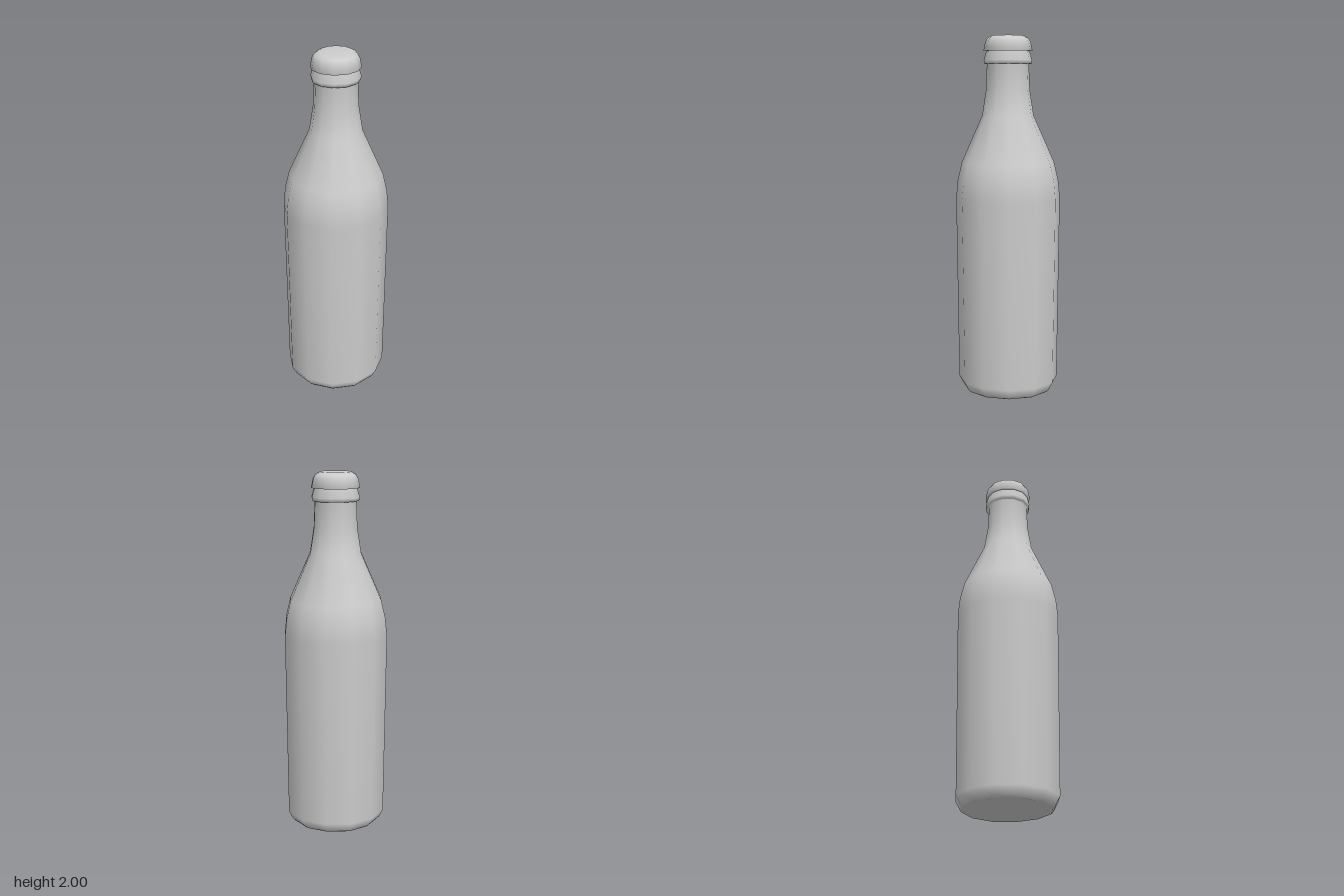
import * as THREE from 'three';

// Slightly uneven twelve-sided outline [x, z] at full body radius, starting at the front
const OUTLINE = [
  [0, 0.29], [0.148, 0.249], [0.257, 0.139], [0.297, -0.01], [0.251, -0.158], [0.141, -0.257],
  [-0.002, -0.294], [-0.143, -0.256], [-0.251, -0.155], [-0.297, -0.01], [-0.26, 0.139], [-0.152, 0.249],
];
const FULL_RADIUS = 0.297;

// Lathe a [radius, y] profile, then fit each ring to the outline
function turned(name, profile) {
  const points = profile.map(([r, y]) => new THREE.Vector2(r, y));
  const geometry = new THREE.LatheGeometry(points, OUTLINE.length);
  const position = geometry.attributes.position;
  for (let i = 0; i < position.count; i++) {
    const [x, z] = OUTLINE[Math.floor(i / points.length) % OUTLINE.length];
    const scale = points[i % points.length].x / FULL_RADIUS;
    position.setX(i, x * scale);
    position.setZ(i, z * scale);
  }
  const material = new THREE.MeshStandardMaterial({ color: 0xcccccc });
  const mesh = new THREE.Mesh(geometry, material);
  mesh.name = name;
  return mesh;
}

export function createModel() {
  const group = new THREE.Group();
  group.name = 'bottle';

  // Base, straight body, shoulder, neck and the collar under the cap
  group.add(turned('bottleBody', [
    [0, 0], [0.248, 0], [0.262, 0.015], [0.286, 0.06],
    [0.297, 1.1], [0.287, 1.2], [0.263, 1.3],
    [0.146, 1.56], [0.124, 1.7], [0.118, 1.845],
    [0.132, 1.845], [0.136, 1.865], [0.12, 1.92],
  ]));

  // Flared cap with a rounded top edge
  group.add(turned('cap', [
    [0.118, 1.915], [0.138, 1.915], [0.127, 1.965],
    [0.115, 1.985], [0.088, 2], [0, 2],
  ]));

  return group;
}
